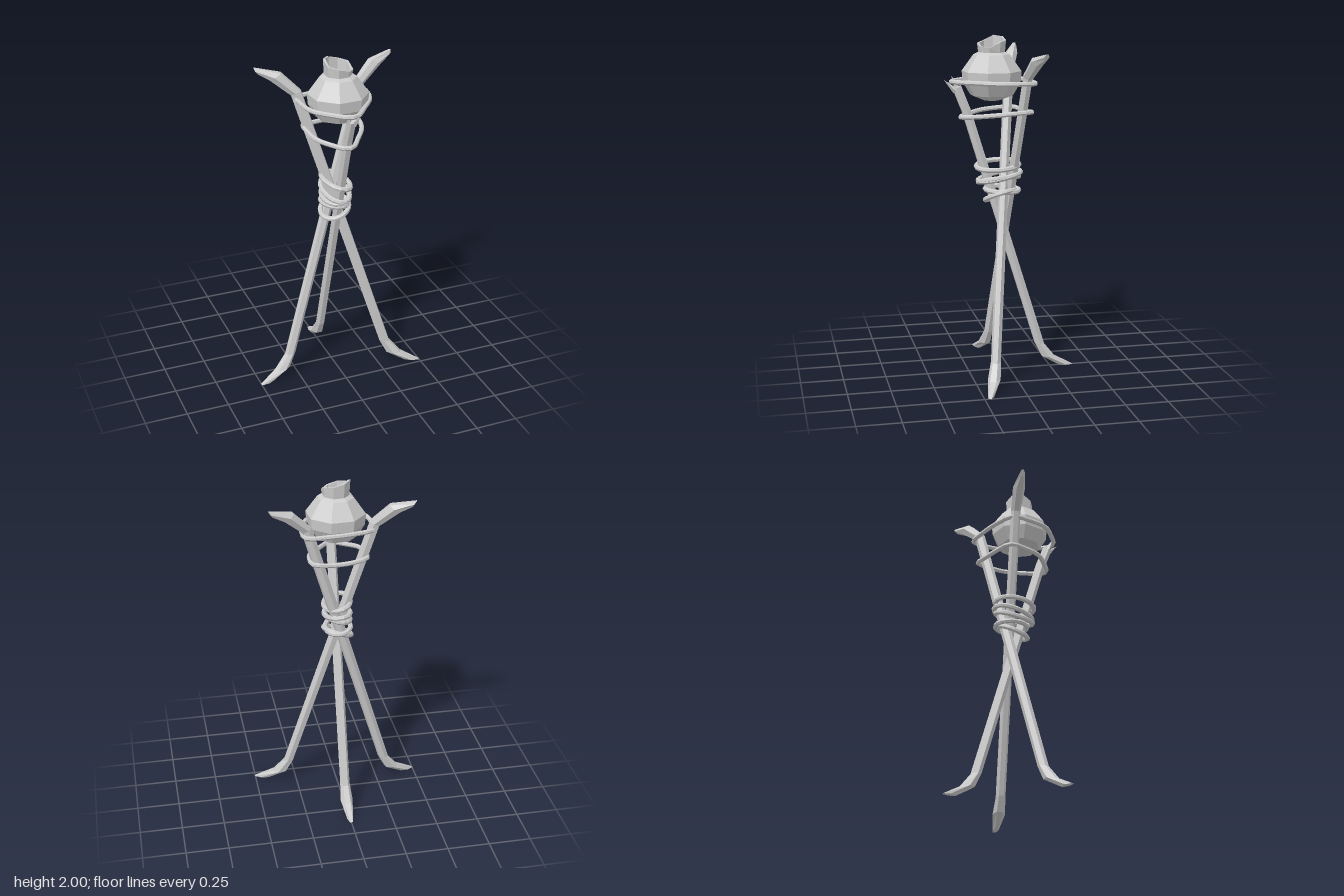
import * as THREE from 'three';

const material = new THREE.MeshStandardMaterial({ color: 0xcccccc, flatShading: true });

function addMesh(parent, geometry, name) {
  const mesh = new THREE.Mesh(geometry, material);
  mesh.name = name;
  parent.add(mesh);
  return mesh;
}

// Six-sided pole in a vertical plane. Each section is
// [outer distance, outer y, inner distance, inner y, half width].
function poleGeometry(sections, originZ, dirX, dirZ) {
  const len = Math.hypot(dirX, dirZ);
  const latX = dirZ / len, latZ = -dirX / len;
  const pos = [], index = [], n = 6;
  for (const [so, yo, si, yi, w] of sections) {
    const sm = (so + si) / 2, ym = (yo + yi) / 2;
    const ring = [[so, yo, w / 2], [sm, ym, w], [si, yi, w / 2], [si, yi, -w / 2], [sm, ym, -w], [so, yo, -w / 2]];
    for (const [s, y, l] of ring) pos.push(s * dirX + l * latX, y, originZ + s * dirZ + l * latZ);
  }
  const last = (sections.length - 1) * n;
  for (let r = 0; r < last; r += n) {
    for (let k = 0; k < n; k++) {
      const a = r + k, b = r + (k + 1) % n;
      index.push(a, b, b + n, a, b + n, a + n);
    }
  }
  for (let k = 1; k < n - 1; k++) {
    index.push(0, k + 1, k, last, last + k, last + k + 1);
  }
  const geo = new THREE.BufferGeometry();
  geo.setAttribute('position', new THREE.Float32BufferAttribute(pos, 3));
  geo.setIndex(index);
  geo.computeVertexNormals();
  return geo;
}

function wire(parent, points, name, segments = 28, radius = 0.014) {
  const curve = new THREE.CatmullRomCurve3(points.map(p => new THREE.Vector3(...p)), true, 'centripetal');
  return addMesh(parent, new THREE.TubeGeometry(curve, segments, radius, 7, true), name);
}

export function createModel() {
  const model = new THREE.Group();
  model.name = 'tripodStand';

  // Poles: splayed foot, straight shaft, flared or broken head
  const foot = [
    [0.5, 0, 0.42, 0, 0.018],
    [0.39, 0.06, 0.31, 0.065, 0.037],
    [0.322, 0.145, 0.267, 0.15, 0.029],
  ];
  const flaredHead = [
    [-0.17, 1.79, -0.222, 1.765, 0.029],
    [-0.275, 1.895, -0.33, 1.855, 0.037],
    [-0.415, 1.925, -0.395, 1.89, 0.016],
  ];
  const brokenHead = [
    [-0.12, 1.58, -0.168, 1.565, 0.029],
    [-0.175, 1.72, -0.222, 1.7, 0.027],
  ];
  const poles = new THREE.Group();
  poles.name = 'poles';
  model.add(poles);
  addMesh(poles, poleGeometry([...foot, ...flaredHead], 0.035, 1, 0.37), 'leftFootPole');
  addMesh(poles, poleGeometry([...foot, ...flaredHead], -0.01, -1, 0.275), 'rightFootPole');
  addMesh(poles, poleGeometry([...foot, ...brokenHead], 0.11, 0, -1), 'brokenBackFootPole');

  // Splinters on the broken pole
  for (const [x, z, tipX, tipY, tipZ] of [[-0.014, 0.3, -0.026, 1.775, 0.335], [0.012, 0.318, 0.015, 1.755, 0.385]]) {
    const base = new THREE.Vector3(x, 1.69, z), tip = new THREE.Vector3(tipX, tipY, tipZ);
    const axis = tip.clone().sub(base);
    const splinter = addMesh(poles, new THREE.ConeGeometry(0.018, axis.length(), 4), 'splinter');
    splinter.position.copy(base).add(tip).multiplyScalar(0.5);
    splinter.quaternion.setFromUnitVectors(new THREE.Vector3(0, 1, 0), axis.normalize());
  }

  // Eight-sided pot with an open neck
  const profile = [
    [0, 1.63], [0.05, 1.632], [0.125, 1.662], [0.168, 1.735], [0.174, 1.8], [0.105, 1.895],
    [0.078, 1.908], [0.084, 1.97], [0.071, 1.97], [0.066, 1.908], [0, 1.908],
  ].map(([r, y]) => new THREE.Vector2(r, y));
  const potGeo = new THREE.LatheGeometry(profile, 8, THREE.MathUtils.degToRad(26.5));
  const p = potGeo.attributes.position;
  // Ragged rim, lowest toward the front left
  for (let i = 0; i < p.count; i++) {
    if (p.getY(i) > 1.95) {
      const a = Math.atan2(p.getX(i), p.getZ(i));
      p.setY(i, 1.968 - 0.028 * Math.cos(a - Math.PI / 4) + 0.008 * Math.cos(3 * a));
    }
  }
  const pot = addMesh(model, potGeo, 'pot');
  pot.position.z = 0.105;

  // Two wire hoops holding the poles apart
  const hoops = new THREE.Group();
  hoops.name = 'wireHoops';
  model.add(hoops);
  const plan = [
    [0.205, -0.105], [0.215, -0.03], [0.195, 0.1], [0.1, 0.24], [0.02, 0.335], [-0.03, 0.335],
    [-0.1, 0.275], [-0.18, 0.18], [-0.2, 0.05], [-0.19, -0.05], [-0.08, -0.09], [0.08, -0.11],
  ];
  wire(hoops, plan.map(([x, z]) => [x, 1.742, z]), 'upperHoop', 32);
  wire(hoops, plan.map(([x, z]) => [x * 0.8, 1.557 + 0.3 * x * x - 0.06 * z, z * 0.86 - 0.005]), 'lowerHoop', 32);

  // Lashing around the crossing: [y, slope over x, slope over z, centre z, x radius, z radius]
  const lashing = new THREE.Group();
  lashing.name = 'lashing';
  model.add(lashing);
  const turns = [
    [1.25, -0.25, -0.05, 0.07, 0.072, 0.122],
    [1.185, -0.1, -0.2, 0.06, 0.07, 0.122],
    [1.165, 0.25, -0.1, 0.065, 0.07, 0.115],
    [1.105, -0.1, 0.05, 0.045, 0.07, 0.095],
    [1.07, 0.35, -0.25, 0.055, 0.078, 0.085],
  ];
  for (const [y, tx, tz, cz, rx, rz] of turns) {
    const points = [];
    for (let k = 0; k < 8; k++) {
      const a = (k + 0.5) * Math.PI / 4;
      const x = rx * Math.cos(a) * 1.06, z = rz * Math.sin(a) * 1.06;
      points.push([x, y + tx * x + tz * z, cz + z]);
    }
    wire(lashing, points, 'lashingTurn', 20, 0.015);
  }
  return model;
}
